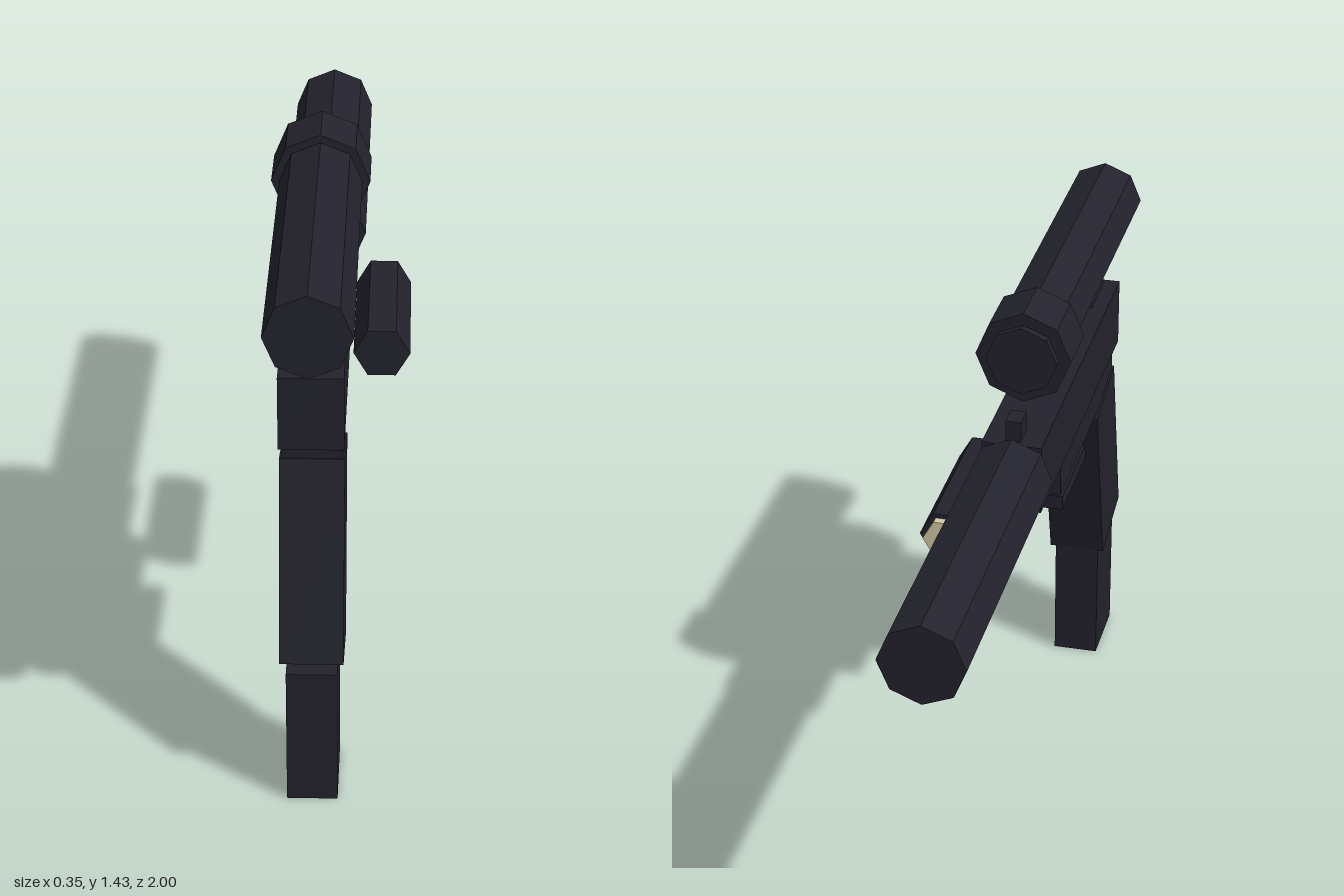
import * as THREE from 'three';

const CX = -0.053; // centre line of the main assembly

export function createModel() {
  const model = new THREE.Group();
  model.name = 'scopedPistol';

  const gunmetal = new THREE.MeshStandardMaterial({ color: 0x23222d, flatShading: true });
  gunmetal.name = 'gunmetal';
  const lampGlass = new THREE.MeshStandardMaterial({ color: 0xd3c9a6, flatShading: true });
  lampGlass.name = 'lampGlass';

  function add(name, geometry, material = gunmetal) {
    const mesh = new THREE.Mesh(geometry, material);
    mesh.name = name;
    model.add(mesh);
    return mesh;
  }

  // Box on the centre line, given by its width and its y and z ranges
  function block(name, width, y0, y1, z0, z1) {
    const mesh = add(name, new THREE.BoxGeometry(width, y1 - y0, z1 - z0));
    mesh.position.set(CX, (y0 + y1) / 2, (z0 + z1) / 2);
    return mesh;
  }

  // Faceted cylinder lying along z
  function tube(name, radius, sides, x, y, z0, z1, turn = 0, material = gunmetal) {
    const geometry = new THREE.CylinderGeometry(radius, radius, z1 - z0, sides);
    geometry.rotateY(turn).rotateX(Math.PI / 2);
    const mesh = add(name, geometry, material);
    mesh.position.set(x, y, (z0 + z1) / 2);
    return mesh;
  }

  // Receiver and barrel
  block('upperReceiver', 0.153, 0.945, 1.13, -0.125, 0.85);
  block('lowerReceiver', 0.142, 0.85, 0.945, 0.13, 0.795);
  tube('barrel', 0.106, 8, CX, 1.04, -1, -0.125);

  // Slanted grip, magazine and trigger guard
  const grip = add('grip', new THREE.BoxGeometry(0.153, 0.506, 0.229));
  grip.position.set(CX, 0.62, 0.746);
  grip.rotation.x = -0.235;
  block('magazine', 0.123, 0, 0.36, 0.695, 0.9);
  block('triggerGuard', 0.077, 0.7, 0.74, 0.31, 0.68);

  // Iron sights
  block('frontSight', 0.04, 1.13, 1.185, -0.105, -0.045);
  block('rearSight', 0.04, 1.13, 1.185, 0.77, 0.83);

  // Scope on two mounts
  for (const z of [0.26, 0.67]) block('scopeMount', 0.073, 1.13, 1.23, z, z + 0.15);
  tube('scopeTube', 0.102, 8, CX, 1.31, 0.1, 1);
  tube('scopeBell', 0.122, 8, CX, 1.31, 0, 0.155);
  tube('scopeLens', 0.091, 8, CX, 1.31, -0.02, 0.02);

  // Side lamp
  tube('lampBody', 0.071, 6, 0.101, 0.875, -0.178, 0.23, Math.PI / 6);
  tube('lampLens', 0.058, 6, 0.101, 0.875, -0.2, -0.17, Math.PI / 6, lampGlass);

  return model;
}
